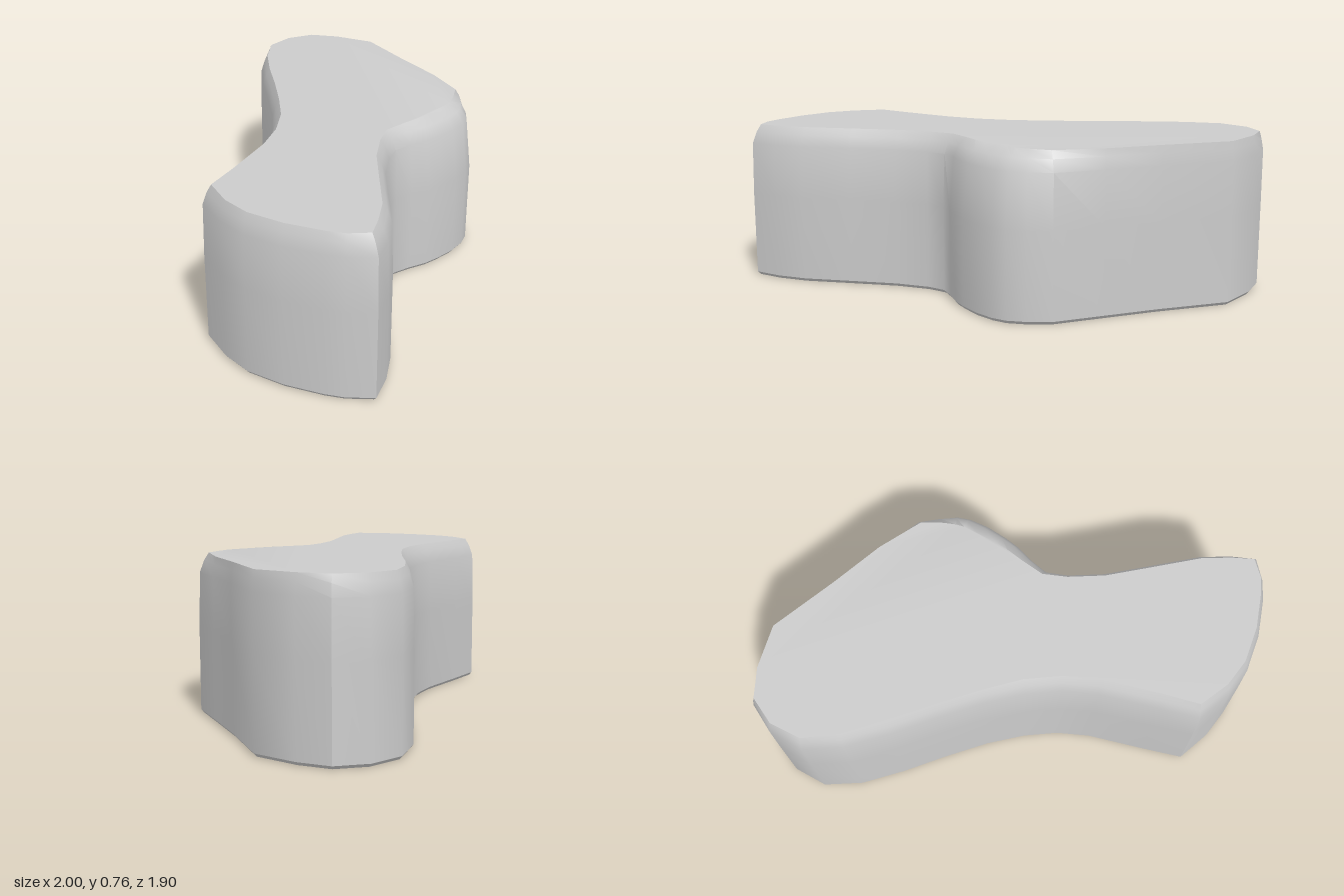
import * as THREE from 'three';
import { toCreasedNormals } from 'three/addons/utils/BufferGeometryUtils.js';

// Plan outline, clockwise from the back left corner: x, z, inset of the top rim
const outline = [
  [-0.92, 0.10, 0.04], [-0.73, 0.04, 0.05], [-0.46, -0.04, 0.05], [-0.31, -0.11, 0.05],
  [-0.17, -0.21, 0.05], [-0.03, -0.34, 0.04], [0.12, -0.51, 0.04], [0.26, -0.68, 0.04],
  [0.41, -0.84, 0.04], [0.57, -0.945, 0.03], [0.74, -0.95, 0.025], [0.88, -0.88, 0.02],
  [0.95, -0.74, 0.015], [1.0, -0.53, 0.01], [0.88, -0.20, 0.01], [0.80, 0.06, 0.015],
  [0.73, 0.29, 0.05], [0.66, 0.38, 0.09], [0.59, 0.44, 0.11], [0.52, 0.465, 0.115],
  [0.42, 0.475, 0.12], [0.31, 0.465, 0.11], [0.23, 0.45, 0.10], [0.14, 0.415, 0.08],
  [0.05, 0.39, 0.06], [-0.04, 0.42, 0.05], [-0.18, 0.51, 0.05], [-0.35, 0.66, 0.05],
  [-0.53, 0.82, 0.05], [-0.66, 0.90, 0.05], [-0.79, 0.95, 0.04], [-0.87, 0.85, 0.03],
  [-0.91, 0.77, 0.03], [-0.97, 0.60, 0.03], [-1.0, 0.42, 0.03], [-0.98, 0.27, 0.03],
];

// Heights with the share of the rim inset reached there
const levels = [[0.015, 0], [0.42, 0], [0.67, 0.25], [0.725, 0.55], [0.76, 1]];

// Mitred inward direction at outline point i
function inward(i) {
  const n = outline.length;
  const p = outline[(i + n - 1) % n], c = outline[i], q = outline[(i + 1) % n];
  const a = new THREE.Vector2(c[1] * -1 + p[1], c[0] - p[0]).normalize();
  const b = new THREE.Vector2(c[1] - q[1], q[0] - c[0]).normalize();
  const m = a.clone().add(b).normalize();
  return m.divideScalar(Math.max(m.dot(a), 0.7));
}

function ring(y, insetOf) {
  return outline.map(([x, z, rim], i) => {
    const d = inward(i).multiplyScalar(insetOf(rim));
    return new THREE.Vector3(x + d.x, y, z + d.y);
  });
}

function blockGeometry() {
  const rings = [
    ring(0, () => 0.012),
    ...levels.map(([y, t]) => ring(y, (rim) => rim * (t === 0.25 ? Math.min(t, rim * 3) : t))),
  ];
  const points = [];
  const n = outline.length;

  // Side walls and rounded rim
  for (let k = 0; k < rings.length - 1; k++) {
    for (let i = 0; i < n; i++) {
      const j = (i + 1) % n;
      const a = rings[k][i], b = rings[k][j], c = rings[k + 1][j], d = rings[k + 1][i];
      points.push(a, c, b, a, d, c);
    }
  }

  // Flat top and underside
  for (const [loop, up] of [[rings[rings.length - 1], true], [rings[0], false]]) {
    const flat = loop.map((p) => new THREE.Vector2(p.x, -p.z));
    for (const [i, j, k] of THREE.ShapeUtils.triangulateShape(flat, [])) {
      const ccw = THREE.ShapeUtils.area([flat[i], flat[j], flat[k]]) > 0;
      if (ccw === up) points.push(loop[i], loop[j], loop[k]);
      else points.push(loop[i], loop[k], loop[j]);
    }
  }
  return toCreasedNormals(new THREE.BufferGeometry().setFromPoints(points), THREE.MathUtils.degToRad(36));
}

export function createModel() {
  const group = new THREE.Group();
  const block = new THREE.Mesh(blockGeometry(), new THREE.MeshStandardMaterial({ color: 0xcccccc }));
  block.name = 'curvedBlock';
  group.add(block);
  return group;
}
